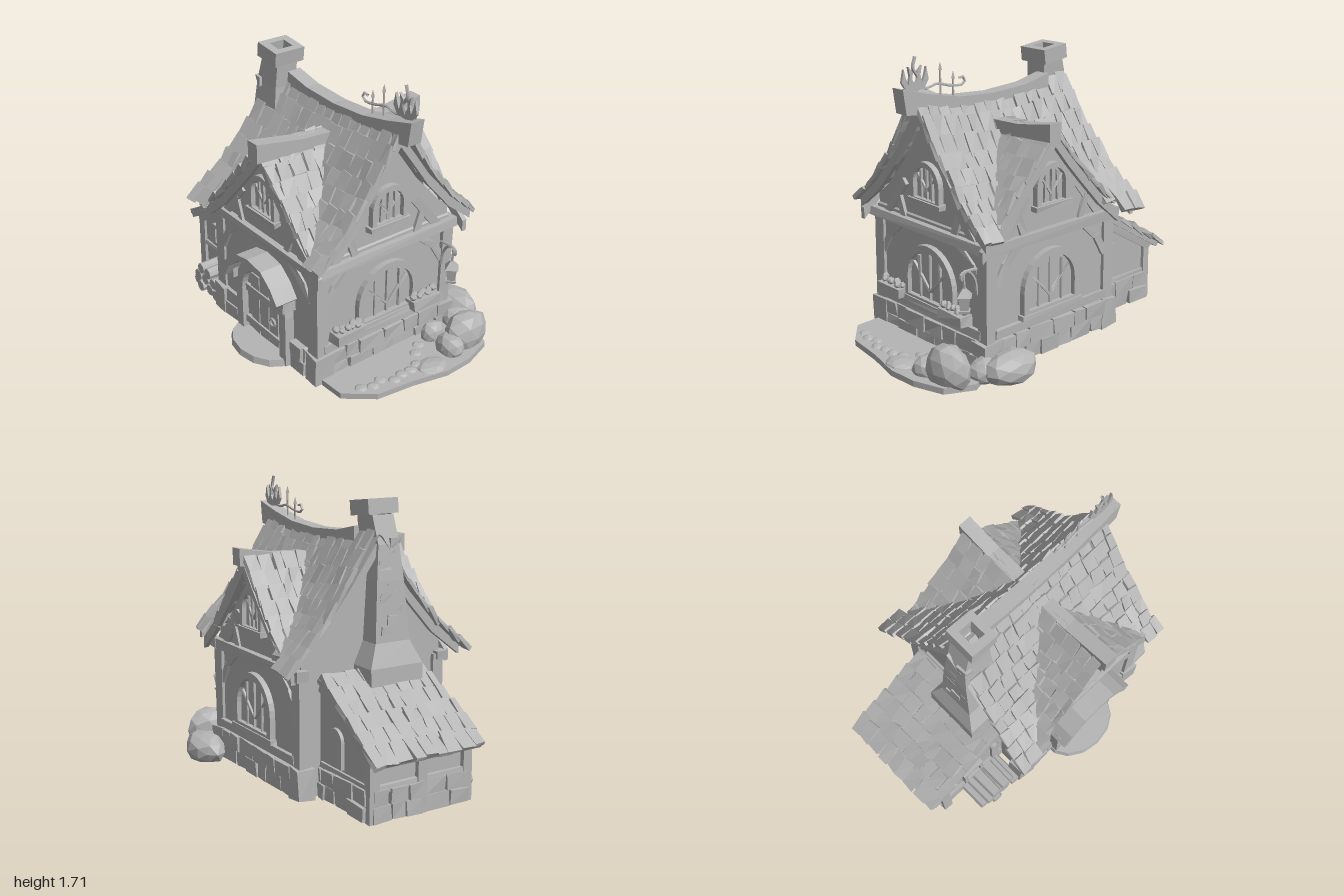
import * as THREE from 'three';
import { mergeGeometries } from 'three/addons/utils/BufferGeometryUtils.js';

let seed = 7;
const rnd = () => (seed = (seed * 16807) % 2147483647) / 2147483647;
const jit = (a) => (rnd() - 0.5) * 2 * a;
const V = (x, y, z = 0) => new THREE.Vector3(x, y, z);
const poly = (pts) => new THREE.Shape(pts.map((p) => new THREE.Vector2(...p)));
const rect = (w, h) => poly([[-w, -h], [w, -h], [w, h], [-w, h]]);
const extrude = (shape, depth) => new THREE.ExtrudeGeometry(shape, { depth, bevelEnabled: false, curveSegments: 8 });
const withHole = (shape, hole) => (shape.holes.push(hole), shape);
const arch = (r, h, b = 0) => new THREE.Shape().moveTo(-r, b).lineTo(-r, h).absarc(0, h, r, Math.PI, 0, true).lineTo(r, b);

// half profiles of the two crossing roofs: distance from ridge, height
const CX = 0.14, CZ = 0.01;
const MAIN = [[0, 1.4], [0.11, 1.25], [0.21, 1.11], [0.38, 0.92], [0.6, 0.75]];
const CROSS = [[0, 1.28], [0.1, 1.16], [0.2, 1.05], [0.36, 0.88], [0.55, 0.72]];
function profileY(profile, d) {
  let i = 1;
  while (i < profile.length - 1 && d > profile[i][0]) i++;
  const [a, b] = [profile[i - 1], profile[i]];
  return a[1] + ((b[1] - a[1]) * (d - a[0])) / (b[0] - a[0]);
}
const mainY = (x, z) => profileY(MAIN, Math.abs(z - CZ)) + 0.06 * ((x - CX) / 0.58) ** 2 * Math.max(0, 1 - Math.abs(z - CZ) / 0.6);
const crossY = (x) => profileY(CROSS, Math.abs(x - CX));
const taper = (x) => 1 - 0.07 * (x + 0.45); // eaves draw in towards +x
// full mirrored profile line, lowered by drop
function fullProfile(profile, w, drop) {
  const side = [...profile.filter((p) => p[0] < w), [w, profileY(profile, w)]].map(([d, y]) => [d, y - drop]);
  return [...side.slice(1).reverse().map(([d, y]) => [-d, y]), ...side];
}
// box with its eight corners slightly shifted
function roughBox(w, h, d, j = 0.004) {
  const geo = new THREE.BoxGeometry(w, h, d), p = geo.attributes.position;
  const off = Array.from({ length: 8 }, () => [jit(j), jit(j), jit(j)]);
  for (let i = 0; i < p.count; i++) {
    const o = off[(p.getX(i) > 0) + 2 * (p.getY(i) > 0) + 4 * (p.getZ(i) > 0)];
    p.setXYZ(i, p.getX(i) + o[0], p.getY(i) + o[1], p.getZ(i) + o[2]);
  }
  return geo;
}

export function createModel() {
  seed = 7;
  const model = new THREE.Group();
  const grey = new THREE.MeshStandardMaterial({ color: 0xb4b4b4, flatShading: true, side: THREE.DoubleSide });
  grey.name = 'plain grey';
  const place = (o, name, parent, x, y, z, ry) => {
    o.name = name;
    o.position.set(x, y, z);
    o.rotation.y = ry;
    parent.add(o);
    return o;
  };
  const add = (name, geo, parent = model, x = 0, y = 0, z = 0, ry = 0) => place(new THREE.Mesh(geo, grey), name, parent, x, y, z, ry);
  const group = (name, x, y, z, ry = 0) => place(new THREE.Group(), name, model, x, y, z, ry);
  // box given by its limits
  const span = (name, x0, x1, y0, y1, z0, z1, j = 0.005, parent = model) =>
    add(name, roughBox(x1 - x0, y1 - y0, z1 - z0, j), parent, (x0 + x1) / 2, (y0 + y1) / 2, (z0 + z1) / 2);
  // bar between two points of a wall plane
  const bar = (name, g, x0, y0, x1, y1, w, t, z = 0) => {
    const m = add(name, roughBox(Math.hypot(x1 - x0, y1 - y0), w, t), g, (x0 + x1) / 2, (y0 + y1) / 2, z);
    m.rotation.z = Math.atan2(y1 - y0, x1 - x0);
  };
  const tube = (name, pts, r, parent) =>
    add(name, new THREE.TubeGeometry(new THREE.CatmullRomCurve3(pts.map((p) => V(...p))), 16, r, 5), parent);

  // walls and gables
  span('lowerWalls', -0.38, 0.585, 0, 0.74, -0.45, 0.5, 0);
  const gable = (profile) => poly([[-0.47, 0.69], ...fullProfile(profile, 0.47, 0.03), [0.47, 0.69]]);
  add('mainGables', extrude(gable(MAIN), 0.96), model, -0.38, 0, CZ + 0.015, Math.PI / 2);
  add('crossGables', extrude(gable(CROSS), 0.95), model, CX - 0.02, 0, -0.45);
  add('leanToWalls', extrude(poly([[-0.87, 0], [-0.38, 0], [-0.38, 0.68], [-0.87, 0.39]]), 0.64), model, 0, 0, -0.32);

  // smooth roof deck under the tiles
  const deck = new THREE.PlaneGeometry(1.16, 1.13, 58, 56).rotateX(-Math.PI / 2).translate(0.11, 0, 0.025);
  const dp = deck.attributes.position;
  for (let i = 0; i < dp.count; i++) {
    const x = dp.getX(i), z = dp.getZ(i) * taper(x);
    dp.setXYZ(i, x, Math.max(mainY(x, z), crossY(x)), z);
  }
  add('roofDeck', deck);
  const slab = add('leanToDeck', new THREE.BoxGeometry(0.66, 0.03, 0.7), model, -0.68, 0.508, 0);
  slab.rotation.z = Math.atan(0.6);

  // rows of tiles; surf(d, s) is the point at distance d from the ridge and s along it
  const tiles = (name, surf, dEnd, rows, range, keep = () => true) => {
    const list = [];
    for (let r = 0; r < rows; r++) {
      const d = (dEnd * (r + 0.5)) / rows, h = dEnd / rows / 2, [s0, s1] = range(d);
      for (let s = s0; s < s1 - 0.03;) {
        const w = Math.min(0.065 + rnd() * 0.035, s1 - s), c = s + w / 2, p = surf(d, c);
        s += w;
        if (!keep(p)) continue;
        const down = surf(d + h, c).sub(surf(d - h, c)), len = down.length() * (1.15 + rnd() * 0.2);
        const along = surf(d, c + 0.01).sub(surf(d, c - 0.01));
        along.addScaledVector(down.normalize(), -along.dot(down)).normalize();
        const up = V(0, 0, 0).crossVectors(down, along);
        if (up.y < 0) { along.negate(); up.negate(); }
        const m = new THREE.Matrix4().makeBasis(along, up, down).setPosition(p.addScaledVector(up, 0.016));
        list.push(roughBox(w - 0.006, 0.024, len, 0.007).rotateX(0.09 + jit(0.05)).rotateY(jit(0.07)).applyMatrix4(m));
      }
    }
    add(name, mergeGeometries(list));
  };
  for (const s of [1, -1]) {
    tiles('mainRoofTiles', (d, x) => V(x, mainY(x, CZ + s * d * taper(x)), CZ + s * d * taper(x)), 0.6, 9,
      (d) => [-0.43 - 0.14 * d, 0.7], (p) => p.y > crossY(p.x) - 0.02);
    tiles('crossRoofTiles', (d, z) => V(CX + s * d, crossY(CX + s * d), z), 0.53, 8,
      (d) => [-0.54 * taper(CX + s * d), 0.6 * taper(CX + s * d)], (p) => p.y > mainY(p.x, p.z) - 0.02);
  }
  tiles('leanToTiles', (d, z) => V(-0.42 - d, 0.68 - d * 0.6, z), 0.555, 6, (d) => [-0.35 - d * 0.06, 0.33 + d * 0.08]);

  // barge boards at the roof ends
  const board = (profile, w) => extrude(poly([...fullProfile(profile, w, 0), ...fullProfile(profile, w, 0.07).reverse()]), 0.03);
  for (const [x, w] of [[0.64, 0.55], [-0.45, 0.58]]) add('mainBargeBoard', board(MAIN, w), model, x, 0.02, CZ, Math.PI / 2);
  for (const z of [0.53, -0.515]) add('crossBargeBoard', board(CROSS, 0.53), model, CX, 0, z);

  // sagging ridge beams
  add('mainRidge', extrude(poly([[-0.28, 1.49], [-0.1, 1.45], [0.15, 1.435], [0.4, 1.45], [0.6, 1.49], [0.79, 1.54],
    [0.77, 1.4], [0.6, 1.38], [0.15, 1.35], [-0.28, 1.38]]), 0.09), model, 0, 0, -0.035);
  add('crossRidge', extrude(poly([[-0.61, 1.36], [-0.3, 1.31], [0, 1.3], [0.3, 1.31], [0.54, 1.35],
    [0.54, 1.25], [0, 1.22], [-0.61, 1.25]]), 0.085), model, 0.125, 0, 0, Math.PI / 2);

  // timber frame on stone piers
  for (const [x, z] of [[-0.36, 0.48], [0.565, 0.48], [0.565, -0.43], [-0.36, -0.43]]) {
    span('cornerPost', x - 0.04, x + 0.04, 0.15, 0.72, z - 0.04, z + 0.035);
    span('cornerPier', x - 0.06, x + 0.06, 0, 0.18, z - 0.06, z + 0.055, 0.01);
  }
  for (const z of [0.5, -0.45]) span('eaveBeam', -0.42, 0.62, 0.685, 0.74, z - 0.04, z + 0.035);
  span('eaveBeam', 0.56, 0.625, 0.685, 0.74, -0.49, 0.54);
  for (const [x, z, ry] of [[0.1, 0.5, 0], [0.1, -0.45, Math.PI], [0.585, 0.025, Math.PI / 2]]) {
    const g = group('wallTimbers', x, 0, z, ry);
    for (const s of [-1, 1]) {
      bar('gableBrace', g, s * 0.38, 0.72, s * 0.2, 0.95, 0.05, 0.03);
      bar('gableFoot', g, s * 0.22, 0.73, s * 0.27, 0.87, 0.045, 0.03);
      bar('wallBrace', g, s * 0.43, 0.48, s * 0.36, 0.6, 0.045, 0.03);
      bar('wallBrace', g, s * 0.37, 0.59, s * 0.25, 0.69, 0.045, 0.03);
    }
    if (ry) bar('sillBeam', g, -0.44, 0.215, 0.44, 0.215, 0.05, 0.05);
  }

  // arched windows: wall position, radius, spring height, frame width
  for (const [name, x, y, z, ry, r, h, w] of [
    ['frontGableWindow', 0.12, 0.86, 0.5, 0, 0.125, 0.13, 0.03], ['backGableWindow', 0.12, 0.86, -0.45, Math.PI, 0.125, 0.13, 0.03],
    ['sideGableWindow', 0.585, 0.86, 0.025, Math.PI / 2, 0.125, 0.12, 0.03],
    ['sideLargeWindow', 0.585, 0.25, 0.015, Math.PI / 2, 0.22, 0.15, 0.04], ['backLargeWindow', 0.12, 0.25, -0.45, Math.PI, 0.22, 0.15, 0.04]]) {
    const g = group(name, x, y, z, ry), i = r - w;
    add('pane', extrude(arch(i, h, w * 0.5), 0.006), g);
    add('frame', extrude(withHole(arch(r, h), arch(i, h, w)), 0.035), g);
    add('sill', roughBox(2 * r + 0.03, 0.03, 0.05), g, 0, 0.01, 0.02);
    bar('mullion', g, 0, w, 0, h + i, 0.014, 0.015, 0.012);
    for (const s of [-1, 1]) {
      bar('mullion', g, 0, h * 0.6, s * i * 0.8, h + i * 0.5, 0.012, 0.015, 0.012);
      bar('mullion', g, s * i * 0.5, w, s * i * 0.5, h + i * 0.8, 0.012, 0.015, 0.012);
    }
  }

  // door, hood and step
  const door = group('door', 0.12, 0, 0.5);
  add('doorLeaf', extrude(arch(0.2, 0.31), 0.02), door);
  add('doorSurround', extrude(withHole(arch(0.245, 0.325), arch(0.185, 0.32, 0.03)), 0.06), door);
  for (const x of [-0.09, 0, 0.09]) span('doorPlank', x - 0.042, x + 0.042, 0.05, 0.44, 0.02, 0.032, 0.004, door);
  for (const y of [0.11, 0.33]) span('doorStrap', -0.17, 0.16, y - 0.02, y + 0.02, 0.02, 0.045, 0.004, door);
  add('doorHandle', new THREE.TorusGeometry(0.025, 0.007, 5, 10), door, 0.1, 0.22, 0.045);
  const hood = [[-0.28, 0.44], [-0.22, 0.53], [-0.11, 0.61], [0, 0.63], [0.13, 0.61], [0.22, 0.54], [0.28, 0.46]];
  add('doorHood', extrude(poly([...hood, ...hood.map(([x, y]) => [x * 0.88, y - 0.035]).reverse()]), 0.14), door);
  for (const s of [-1, 1]) span('hoodBracket', s * 0.245 - 0.02, s * 0.245 + 0.02, 0.38, 0.47, 0, 0.09, 0.004, door);
  add('doorStep', new THREE.CylinderGeometry(0.245, 0.255, 0.04, 14).scale(1, 1, 0.75), model, 0.11, 0.02, 0.515);

  // stone courses along the footings: position, turn, length
  for (const [x, z, ry, len] of [[0.59, 0.025, Math.PI / 2, 0.88], [0.1, -0.455, 0, 0.84], [0.44, 0.5, 0, 0.13],
    [-0.22, 0.5, 0, 0.18], [-0.63, -0.32, 0, 0.46], [-0.87, 0, Math.PI / 2, 0.64]]) {
    const list = [];
    for (let row = 0; row < 2; row++) for (let s = -len / 2; s < len / 2 - 0.02;) {
      const w = Math.min(0.09 + rnd() * 0.1, len / 2 - s);
      list.push(roughBox(w - 0.008, 0.088, 0.05 + rnd() * 0.03, 0.006).translate(s + w / 2, 0.048 + row * 0.09, 0));
      s += w;
    }
    add('footingStones', mergeGeometries(list), model, x, 0, z, ry);
  }

  // lean-to details
  for (const z of [-0.31, 0, 0.31]) span('leanToPost', -0.895, -0.84, 0, 0.37, z - 0.03, z + 0.03);
  for (const y of [0.185, 0.345]) span('leanToRail', -0.89, -0.85, y - 0.02, y + 0.02, -0.33, 0.33);
  for (const z of [0.32, -0.32]) {
    bar('rafter', model, -0.9, 0.34, -0.4, 0.635, 0.045, 0.04, z);
    bar('baseRail', model, -0.86, 0.19, -0.4, 0.19, 0.03, 0.03, z);
  }
  add('leanToWindow', extrude(withHole(rect(0.075, 0.075), rect(0.05, 0.05)), 0.03), model, -0.64, 0.31, 0.32);
  add('hatch', extrude(arch(0.03, 0.19), 0.02), model, -0.45, 0.21, 0.32);
  add('backHatch', extrude(arch(0.07, 0.15), 0.02), model, -0.55, 0.22, -0.34);

  // woodpile
  for (let row = 0; row < 3; row++) for (let i = 0; i < 4 - row; i++)
    add('log', new THREE.CylinderGeometry(0.036, 0.039, 0.18 + rnd() * 0.03, 8).rotateX(Math.PI / 2), model,
      -0.69 + i * 0.08 + row * 0.04, 0.038 + row * 0.062, 0.41 + jit(0.015));

  // chimney: tapering rectangular sections (height, x limits, z limits)
  const sections = [[0.4, -0.56, -0.3, -0.1, 0.25], [0.73, -0.55, -0.3, -0.1, 0.25], [0.86, -0.505, -0.28, -0.04, 0.19],
    [1.2, -0.485, -0.27, -0.02, 0.16], [1.4, -0.465, -0.28, 0, 0.14], [1.56, -0.42, -0.27, -0.01, 0.13]];
  const corners = sections.flatMap(([y, a, b, c, d]) => [a, y, d, b, y, d, b, y, c, a, y, c]), faces = [];
  for (let o = 0; o < 20; o++) {
    const n = o % 4 === 3 ? o - 3 : o + 1;
    faces.push(o, n, n + 4, o, n + 4, o + 4);
  }
  const stack = new THREE.BufferGeometry().setAttribute('position', new THREE.Float32BufferAttribute(corners, 3)).setIndex(faces);
  stack.computeVertexNormals();
  add('chimneyStack', stack);
  for (let i = 0; i < 9; i++)
    span('chimneyStone', -0.505 + i * 0.005, -0.42, 0.9 + i * 0.06, 0.95 + i * 0.06, (i % 3) * 0.04, 0.07 + (i % 3) * 0.04, 0.008);
  const cap = extrude(withHole(rect(0.09, 0.1), rect(0.045, 0.05)), 0.085).rotateX(-Math.PI / 2);
  add('chimneyCap', cap, model, -0.34, 1.555, 0.06).rotation.z = -0.12;

  // flower boxes
  for (const z of [0.32, -0.235]) {
    span('flowerBox', 0.59, 0.675, 0.25, 0.31, z - 0.1, z + 0.1);
    for (let i = 0; i < 8; i++)
      add('flower', new THREE.IcosahedronGeometry(0.018 + rnd() * 0.008, 0), model, 0.635 + jit(0.025), 0.325 + jit(0.01), z - 0.08 + i * 0.023);
  }

  // hanging lantern
  const lamp = group('lantern', 0.695, 0, -0.395);
  tube('bracket', [[-0.09, 0.45], [-0.07, 0.55], [-0.02, 0.605], [0.025, 0.59], [0.02, 0.56]], 0.009, lamp);
  tube('bracketArm', [[-0.1, 0.6], [-0.04, 0.605], [0, 0.6], [0, 0.51]], 0.008, lamp);
  for (const [name, top, base, h, y] of [['lanternRoof', 0.012, 0.055, 0.045, 0.49], ['lanternBody', 0.045, 0.03, 0.08, 0.43], ['lanternBase', 0.043, 0.04, 0.016, 0.383]])
    add(name, new THREE.CylinderGeometry(top, base, h, 4), lamp, 0, y, 0);

  // wrought iron ridge ornament
  tube('scroll', [[0.38, 1.545], [0.35, 1.55], [0.335, 1.525], [0.36, 1.505], [0.45, 1.515], [0.53, 1.535], [0.6, 1.52], [0.68, 1.53], [0.76, 1.53]], 0.008);
  for (const [x, y] of [[0.42, 1.57], [0.51, 1.63]]) {
    tube('spike', [[x, 1.44], [x, 1.5], [x, y - 0.01]], 0.006);
    add('spikeTip', new THREE.ConeGeometry(0.014, 0.045, 4), model, x, y, 0);
  }
  for (const s of [-1, 1]) for (const pts of [
    [[0, 1.515], [0.06, 1.525], [0.09, 1.57], [0.075, 1.64], [0.065, 1.6], [0.05, 1.56], [0, 1.545]],
    [[0.02, 1.535], [0.045, 1.56], [0.035, 1.6], [0.045, 1.65], [0.015, 1.62], [0.02, 1.58], [0, 1.55]]])
    add('flame', extrude(poly(pts.map(([x, y]) => [0.685 + s * x, y])), 0.016), model, 0, 0, -0.008);
  tube('flameTongue', [[0.685, 1.54], [0.665, 1.59], [0.695, 1.64], [0.68, 1.7]], 0.01);

  // rocky ground and boulders (x, z, half width, height, half depth)
  const ground = poly([[0.55, -0.5], [0.78, -0.49], [0.91, -0.33], [0.94, -0.1], [0.99, 0.12], [0.98, 0.3], [0.92, 0.48], [0.76, 0.56], [0.55, 0.45]]);
  add('rockyGround', extrude(ground, 0.035).rotateX(-Math.PI / 2));
  const pebbles = Array.from({ length: 9 }, (_, i) => [0.7 + rnd() * 0.18, -0.15 + i * 0.065, 0.04, 0.05, 0.045]);
  for (const [x, z, rx, h, rz] of [[0.54, -0.59, 0.17, 0.17, 0.11], [0.66, -0.5, 0.09, 0.13, 0.09], [0.83, -0.41, 0.1, 0.23, 0.15],
    [0.85, -0.27, 0.09, 0.14, 0.08], [0.69, -0.28, 0.06, 0.14, 0.08], [0.9, -0.08, 0.08, 0.06, 0.1], ...pebbles]) {
    const geo = new THREE.IcosahedronGeometry(1, 1), p = geo.attributes.position, k = rnd() * 6;
    for (let i = 0; i < p.count; i++) {
      const [a, b, c] = [p.getX(i), p.getY(i), p.getZ(i)], f = 1 + 0.08 * Math.sin(a * 4 + k) * Math.cos(c * 3 + b * 2 + k);
      p.setXYZ(i, a * f * rx, Math.max(0, b * f * h * 0.6 + h * 0.4), c * f * rz);
    }
    add('boulder', geo, model, x, 0, z);
  }
  return model;
}
